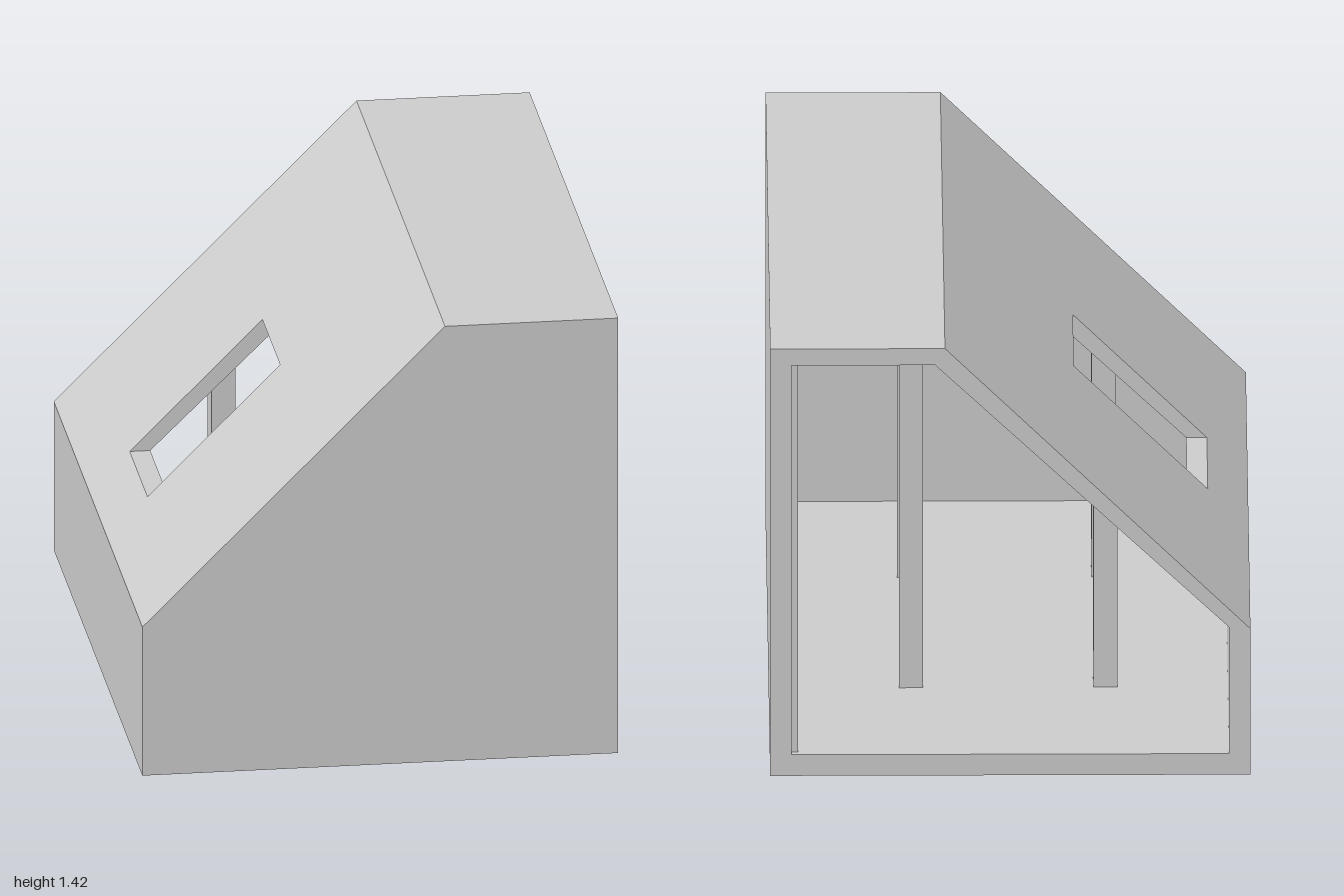
import * as THREE from 'three';

const material = new THREE.MeshStandardMaterial({ color: 0xcccccc, flatShading: true });

// Cross-sections in the x-y plane, counter-clockwise from the low eave
const outer = [[-0.735, 0.485], [-0.735, 0], [0.735, 0], [0.735, 1.42], [0.2, 1.42]];
const inner = [[-0.67, 0.49], [-0.67, 0.07], [0.67, 0.07], [0.67, 1.365], [0.23, 1.365]];
const roofOuterX = (y) => -0.735 + (y - 0.485) * (0.935 / 0.935);
const roofInnerY = (x) => 0.49 + (x + 0.67) * (0.875 / 0.9);
const roofInnerX = (y) => -0.67 + (y - 0.49) * (0.9 / 0.875);

const toShape = (points) => new THREE.Shape(points.map(([x, y]) => new THREE.Vector2(x, y)));

export function createModel() {
  const model = new THREE.Group();

  // Extrudes a cross-section from z0 to z1
  const addSection = (name, shape, z0, z1) => {
    const geometry = new THREE.ExtrudeGeometry(shape, { depth: z1 - z0, bevelEnabled: false });
    geometry.translate(0, 0, z0);
    const mesh = new THREE.Mesh(geometry, material);
    mesh.name = name;
    model.add(mesh);
  };

  // Shell of floor, walls and roof, open at the back
  const ring = toShape(outer);
  ring.holes.push(new THREE.Path(inner.map(([x, y]) => new THREE.Vector2(x, y))));
  const window = { bottom: 0.61, top: 1.02, halfWidth: 0.2 };
  const frontInside = 0.975;
  addSection('shellBack', ring, -1, -window.halfWidth);
  addSection('shellFront', ring, window.halfWidth, frontInside);

  // Middle of the shell, with the roof window cut level through the slope
  const cut = [
    [roofOuterX(window.bottom), window.bottom], ...outer,
    [roofOuterX(window.top), window.top], [roofInnerX(window.top), window.top],
    ...[...inner].reverse(), [roofInnerX(window.bottom), window.bottom],
  ];
  addSection('shellWindow', toShape(cut), -window.halfWidth, window.halfWidth);

  // Closed front wall
  addSection('frontWall', toShape(outer), frontInside, 1);

  // Posts trimmed to the underside of the roof
  for (const x of [-0.295, 0.3]) {
    for (const z of [-0.43, 0.43]) {
      const x0 = x - 0.037, x1 = x + 0.037;
      const top = (px) => Math.min(1.365, roofInnerY(px));
      const post = toShape([[x0, 0.07], [x1, 0.07], [x1, top(x1)], [x0, top(x0)]]);
      addSection('post', post, z - 0.05, z + 0.05);
    }
  }

  // Vertical boards lining the tall wall, with narrow gaps
  for (let i = 0; i <= 10; i++) {
    const z0 = Math.max(-0.98, -1.09 + i * 0.2);
    const z1 = Math.min(frontInside, -0.92 + i * 0.2);
    const board = new THREE.Mesh(new THREE.BoxGeometry(0.02, 1.295, z1 - z0), material);
    board.name = 'wallBoard';
    board.position.set(0.66, 0.7175, (z0 + z1) / 2);
    model.add(board);
  }

  return model;
}
